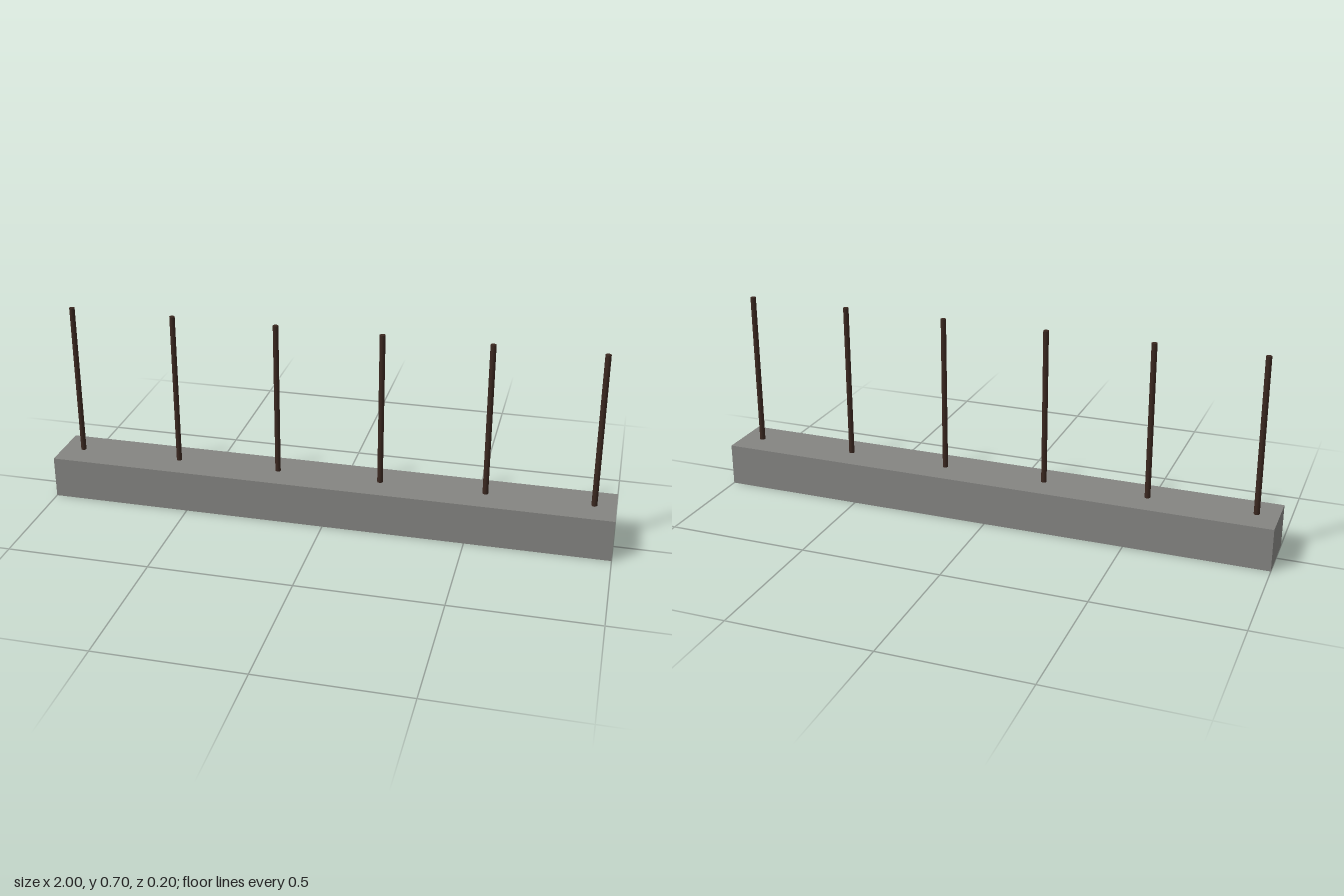
import * as THREE from 'three';

export function createModel() {
  const model = new THREE.Group();
  model.name = 'postRow';

  const stone = new THREE.MeshStandardMaterial({ color: 0x848481 });
  stone.name = 'stone grey';
  const wood = new THREE.MeshStandardMaterial({ color: 0x3b2820 });
  wood.name = 'dark brown';

  // Long plinth resting on the ground
  const baseHeight = 0.15;
  const base = new THREE.Mesh(new THREE.BoxGeometry(2, baseHeight, 0.2), stone);
  base.name = 'base';
  base.position.y = baseHeight / 2;
  model.add(base);

  // Six evenly spaced slim posts standing on the plinth
  const postCount = 6;
  const postHeight = 0.55;
  const spacing = 0.37;
  const postGeometry = new THREE.CylinderGeometry(0.01, 0.01, postHeight, 8);
  for (let i = 0; i < postCount; i++) {
    const post = new THREE.Mesh(postGeometry, wood);
    post.name = `post${i + 1}`;
    post.position.set((i - (postCount - 1) / 2) * spacing, baseHeight + postHeight / 2, 0);
    model.add(post);
  }

  return model;
}
